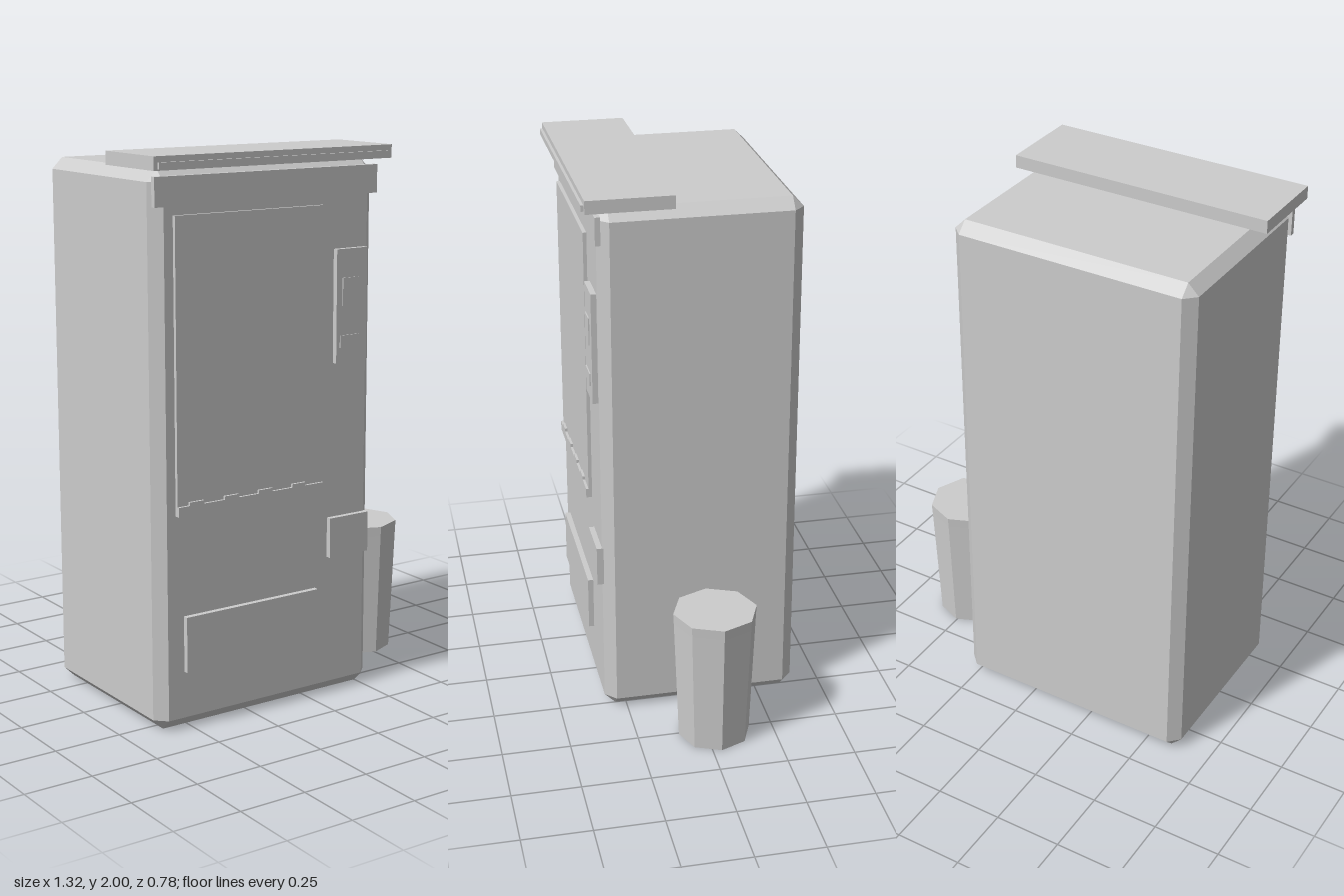
import * as THREE from 'three';
import { ConvexGeometry } from 'three/addons/geometries/ConvexGeometry.js';

export function createModel() {
  const model = new THREE.Group();
  model.name = 'vendingMachineAndBin';
  const grey = new THREE.MeshStandardMaterial({ color: 0xcccccc, flatShading: true });
  grey.name = 'plain grey';

  const add = (name, geometry) => {
    const mesh = new THREE.Mesh(geometry, grey);
    mesh.name = name;
    model.add(mesh);
    return mesh;
  };

  // Box given by its limits on each axis
  const box = (name, x0, x1, y0, y1, z0, z1) =>
    add(name, new THREE.BoxGeometry(x1 - x0, y1 - y0, z1 - z0))
      .position.set((x0 + x1) / 2, (y0 + y1) / 2, (z0 + z1) / 2);

  // Cabinet: box with every edge chamfered
  const half = [0.4625, 0.975, 0.36], chamfer = 0.04, points = [];
  for (const sx of [-1, 1]) for (const sy of [-1, 1]) for (const sz of [-1, 1]) {
    for (let axis = 0; axis < 3; axis++) {
      const p = half.map((h, i) => (i === axis ? h : h - chamfer));
      points.push(new THREE.Vector3(p[0] * sx, p[1] * sy, p[2] * sz));
    }
  }
  add('cabinet', new ConvexGeometry(points)).position.set(-0.1725, 0.975, -0.03);

  // Canopy with its front strip, and the header below
  box('canopy', -0.66, 0.32, 1.953, 2, 0.07, 0.377);
  box('canopyStrip', -0.645, 0.3, 1.958, 1.98, 0.36, 0.387);
  box('header', -0.635, 0.287, 1.83, 1.93, 0.32, 0.339);

  // Display window, its ledge and price tabs
  box('displayWindow', -0.56, 0.052, 0.775, 1.8, 0.32, 0.343);
  box('displayLedge', -0.56, 0.052, 0.775, 0.81, 0.32, 0.352);
  for (let i = 0; i < 4; i++) {
    const x = -0.515 + i * 0.143;
    box('priceTab', x, x + 0.058, 0.805, 0.822, 0.335, 0.352);
  }

  // Payment panel with slot and keypad
  box('paymentPanel', 0.105, 0.238, 1.235, 1.642, 0.32, 0.35);
  box('coinSlot', 0.13, 0.2, 1.44, 1.54, 0.34, 0.354);
  box('noteSlot', 0.12, 0.205, 1.29, 1.335, 0.34, 0.354);

  // Change tray and pick-up flap
  box('changeTray', 0.085, 0.257, 0.52, 0.668, 0.325, 0.35);
  box('pickUpFlap', -0.53, 0.032, 0.21, 0.412, 0.32, 0.35);

  // Eight-sided bin with a straight rim
  const bin = [[0, 0], [0.132, 0], [0.151, 0.475], [0.153, 0.513], [0, 0.513]];
  add('bin', new THREE.LatheGeometry(bin.map(([r, y]) => new THREE.Vector2(r, y)), 8))
    .position.set(0.506, 0, -0.033);

  return model;
}
